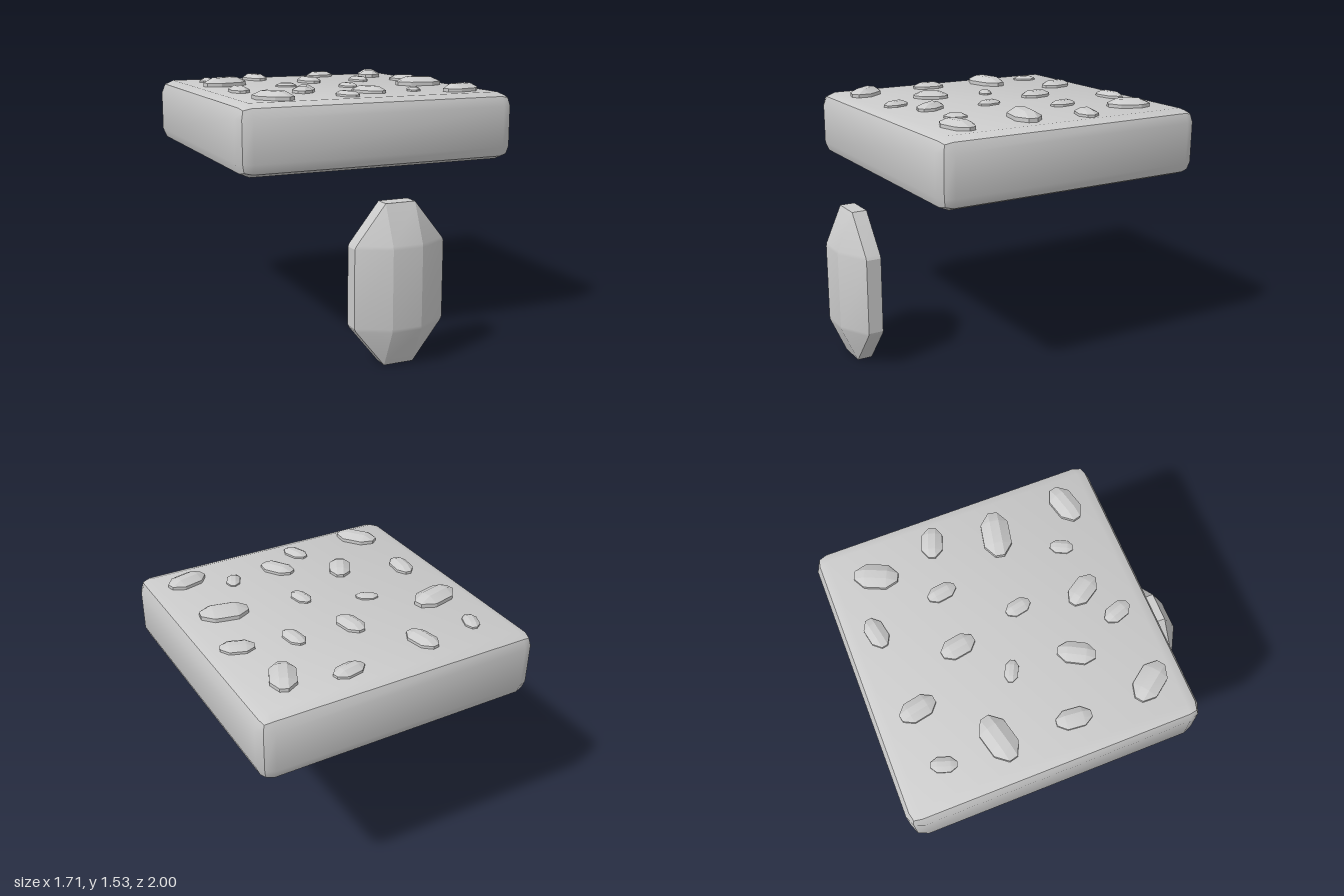
import * as THREE from 'three';
import { toCreasedNormals } from 'three/addons/utils/BufferGeometryUtils.js';
import { RoundedBoxGeometry } from 'three/addons/geometries/RoundedBoxGeometry.js';

// Faceted seed: long axis y, flat back on z = 0, facets rising to z = 0.19
function seedGeometry() {
  // each cross-section: height, half width of wall, height of the ridge panel
  const rows = [
    [-0.465, 0.09, 0.09], [-0.245, 0.265, 0.187], [-0.225, 0.275, 0.19],
    [0.225, 0.275, 0.19], [0.245, 0.265, 0.187], [0.465, 0.09, 0.09],
  ];
  const ridge = 0.09, wall = 0.09, n = 6;
  const positions = [], index = [];
  for (const [y, w, z] of rows) {
    positions.push(-w, y, 0, -w, y, wall, -ridge, y, z, ridge, y, z, w, y, wall, w, y, 0);
  }
  for (let r = 0; r < rows.length - 1; r++) {
    for (let i = 0; i < n; i++) {
      const a = r * n + i, b = r * n + (i + 1) % n;
      index.push(a, b, b + n, a, b + n, a + n);
    }
  }
  // end caps
  const t = (rows.length - 1) * n;
  for (let i = 1; i < n - 1; i++) {
    index.push(0, i + 1, i, t, t + i, t + i + 1);
  }
  const g = new THREE.BufferGeometry();
  g.setAttribute('position', new THREE.Float32BufferAttribute(positions, 3));
  g.setIndex(index);
  return toCreasedNormals(g, THREE.MathUtils.degToRad(24));
}

export function createModel() {
  const group = new THREE.Group();
  const material = new THREE.MeshStandardMaterial({ color: 0xcccccc });

  // Slab with bevelled edges
  const slab = new THREE.Mesh(
    toCreasedNormals(new RoundedBoxGeometry(1.71, 0.4, 1.715, 1, 0.08), 0.6), material);
  slab.name = 'slab';
  slab.position.set(0, 1.28, -0.1425);
  group.add(slab);

  // Large loose seed standing upright in front
  const seed = seedGeometry();
  const large = new THREE.Mesh(seed, material);
  large.name = 'largeSeed';
  large.position.set(0, 0.465, 0.81);
  group.add(large);

  // Small seeds lying on the slab: x, z, length, width, direction x, direction z
  const lying = seed.clone().rotateX(-Math.PI / 2);
  const seeds = [
    [-0.605, -0.715, 0.145, 0.085, 0.35, -1],
    [-0.26, -0.74, 0.21, 0.125, -0.2, -1],
    [0.245, -0.805, 0.19, 0.11, 1, -0.2],
    [0.575, -0.695, 0.25, 0.145, 0.45, -1],
    [-0.58, -0.39, 0.28, 0.16, 1, -0.25],
    [0, -0.41, 0.2, 0.12, -0.17, -1],
    [0.345, -0.38, 0.17, 0.095, -0.15, -1],
    [0.66, -0.325, 0.19, 0.12, 1, 0.35],
    [-0.245, -0.185, 0.13, 0.075, 1, 0.5],
    [-0.625, 0.03, 0.2, 0.11, 0.1, -1],
    [0.1, -0.01, 0.15, 0.09, -0.2, -1],
    [0.57, 0.04, 0.28, 0.16, 1, 0.2],
    [-0.28, 0.19, 0.215, 0.125, 0.55, -1],
    [0.06, 0.37, 0.21, 0.125, 0.65, 1],
    [0.36, 0.365, 0.135, 0.08, 0.5, -1],
    [-0.585, 0.5, 0.25, 0.15, 0.75, 1],
    [-0.135, 0.5, 0.165, 0.1, 0.35, 1],
    [0.61, 0.49, 0.24, 0.14, 1, -0.25],
  ];
  const topping = new THREE.Group();
  topping.name = 'toppingSeeds';
  for (const [x, z, length, width, dx, dz] of seeds) {
    const m = new THREE.Mesh(lying, material);
    m.name = 'smallSeed';
    m.position.set(x, 1.476, z);
    m.rotation.y = Math.atan2(-dx, -dz);
    m.scale.set(width / 0.55, length / 0.93, length / 0.93);
    topping.add(m);
  }
  group.add(topping);
  return group;
}
